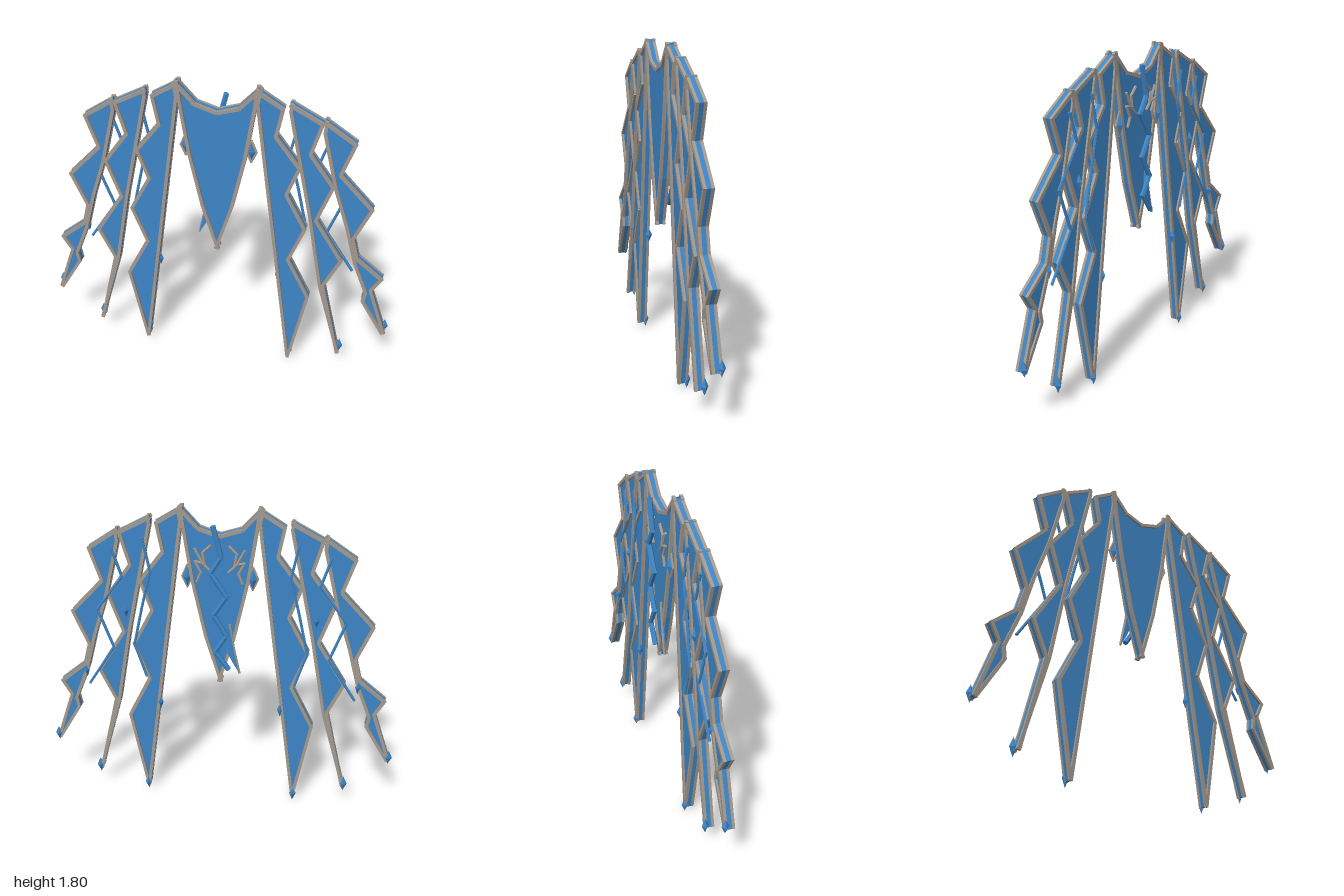
import * as THREE from 'three';

const blue = new THREE.MeshStandardMaterial({ color: 0x3d85c6, flatShading: true });
blue.name = 'featherBlue';
const grey = new THREE.MeshStandardMaterial({ color: 0xa39a90, flatShading: true });
grey.name = 'trimGrey';

// Outlines of the right-hand (+x) feathers, clockwise from the inner top corner
const feathers = {
  innerFeather: [
    [0.21, 1.79], [0.34, 1.71], [0.31, 1.55], [0.44, 1.38], [0.38, 1.21], [0.49, 1.0],
    [0.41, 0.78], [0.535, 0.53], [0.445, 0.03], [0.43, 0.03], [0.2, 1.72],
  ],
  middleFeather: [
    [0.37, 1.74], [0.54, 1.65], [0.49, 1.47], [0.62, 1.29], [0.545, 1.07], [0.7, 0.82],
    [0.615, 0.63], [0.735, 0.13], [0.725, 0.13], [0.585, 0.62], [0.5, 1.08], [0.365, 1.7],
  ],
  outerFeather: [
    [0.545, 1.665], [0.71, 1.555], [0.65, 1.37], [0.83, 1.18], [0.75, 0.98], [0.785, 0.85],
    [0.93, 0.73], [0.88, 0.64], [0.985, 0.34], [0.965, 0.33], [0.83, 0.555], [0.84, 0.62],
    [0.76, 0.82], [0.7, 1.04], [0.62, 1.28], [0.54, 1.6],
  ],
};

// Middle panel with a scooped collar and a long point
const centrePanel = [
  [-0.21, 1.8], [-0.11, 1.69], [0, 1.655], [0.11, 1.69], [0.21, 1.8], [0.2, 1.7],
  [0.155, 1.4], [0.085, 1.07], [0, 0.79], [-0.085, 1.07], [-0.155, 1.4], [-0.2, 1.7],
];

// Thin zigzag veins behind the feathers
const veins = [
  [[0.41, 1.62], [0.375, 1.44], [0.43, 1.22], [0.48, 1.0], [0.42, 0.8]],
  [[0.58, 1.56], [0.53, 1.4], [0.68, 1.2], [0.6, 0.97], [0.755, 0.73]],
];

// Crystals: x, y, half width, half height
const crystals = [
  [0.44, 0.05, 0.02, 0.05], [0.735, 0.15, 0.022, 0.05], [0.978, 0.36, 0.022, 0.045],
  [0.175, 1.42, 0.022, 0.06], [0.77, 0.81, 0.016, 0.045], [0.345, 0.63, 0.016, 0.045],
  [0.52, 1.2, 0.016, 0.04],
];

function add(parent, name, geometry, material) {
  const mesh = new THREE.Mesh(geometry, material);
  mesh.name = name;
  parent.add(mesh);
  return mesh;
}

// Flat plate between two depths
function plate(points, z0, z1) {
  const shape = new THREE.Shape(points.map(([x, y]) => new THREE.Vector2(x, y)));
  const g = new THREE.ExtrudeGeometry(shape, { depth: z1 - z0, bevelEnabled: false });
  return g.translate(0, 0, z0);
}

// Blue plate with a raised grey border on its front and back
function borderedPanel(name, points) {
  const group = new THREE.Group();
  group.name = name;
  add(group, 'panel', plate(points, 0.006, 0.038), blue);
  points.forEach(([x0, y0], i) => {
    const [x1, y1] = points[(i + 1) % points.length];
    const dx = x1 - x0, dy = y1 - y0, len = Math.hypot(dx, dy);
    // step inward from the clockwise outline
    const ix = (dy / len) * 0.007, iy = (-dx / len) * 0.007;
    for (const z of [0.043, 0.003]) {
      const bar = add(group, 'border', new THREE.BoxGeometry(len + 0.004, 0.018, 0.016), grey);
      bar.position.set((x0 + x1) / 2 + ix, (y0 + y1) / 2 + iy, z);
      bar.rotation.z = Math.atan2(dy, dx);
    }
  });
  return group;
}

// Jointed rods along a zigzag path
function zigzag(name, points, z, radius, material) {
  const group = new THREE.Group();
  group.name = name;
  for (let i = 0; i < points.length - 1; i++) {
    const [x0, y0] = points[i], [x1, y1] = points[i + 1];
    const len = Math.hypot(x1 - x0, y1 - y0);
    const rod = add(group, 'rod', new THREE.CylinderGeometry(radius, radius, len + radius, 6), material);
    rod.position.set((x0 + x1) / 2, (y0 + y1) / 2, z);
    rod.rotation.z = Math.atan2(y1 - y0, x1 - x0) - Math.PI / 2;
  }
  return group;
}

export function createModel() {
  const model = new THREE.Group();
  model.name = 'featheredCape';
  model.add(borderedPanel('centrePanel', centrePanel));

  for (const side of [1, -1]) {
    const wing = new THREE.Group();
    wing.name = side > 0 ? 'leftWing' : 'rightWing';
    // reversing keeps the mirrored outlines clockwise
    const flip = (pts) => (side > 0 ? pts : pts.map(([x, y]) => [-x, y]).reverse());

    for (const [name, pts] of Object.entries(feathers)) wing.add(borderedPanel(name, flip(pts)));
    for (const pts of veins) wing.add(zigzag('vein', flip(pts), -0.004, 0.008, blue));

    crystals.forEach(([x, y, w, h]) => {
      const gem = add(wing, 'crystal', new THREE.OctahedronGeometry(1, 0), blue);
      gem.scale.set(w, h, 0.02);
      gem.position.set(side * x, y, 0);
    });

    // Setting around the collar crystal
    const rim = [[0.175, 1.485], [0.202, 1.42], [0.175, 1.36], [0.15, 1.42], [0.175, 1.485]];
    wing.add(zigzag('crystalSetting', flip(rim), 0.004, 0.006, grey));

    // Small jagged star on the back
    const star = [[0.05, 1.6], [0.09, 1.56], [0.08, 1.5], [0.13, 1.51], [0.1, 1.45], [0.12, 1.4]];
    wing.add(zigzag('backStar', flip(star), -0.012, 0.008, grey));
    wing.add(zigzag('backRay', flip([[0.13, 1.58], [0.09, 1.5], [0.05, 1.46]]), -0.012, 0.008, grey));
    model.add(wing);
  }

  // Thick zigzag spine standing off the back
  const spine = [
    [0.03, 1.71], [-0.01, 1.55], [0.045, 1.46], [-0.04, 1.33], [0.03, 1.22],
    [-0.04, 1.1], [0.02, 1.0], [-0.05, 0.9],
  ];
  model.add(zigzag('spine', spine, -0.04, 0.015, blue));

  // Slim shard hanging behind the centre panel
  const shard = [[-0.11, 0.86], [-0.08, 1.0], [-0.055, 1.15], [-0.045, 0.98], [-0.075, 0.92]];
  add(model, 'backShard', plate(shard, -0.014, 0.004), blue);
  model.add(zigzag('shardEdge', [[-0.11, 0.86], [-0.08, 1.0], [-0.055, 1.15]], -0.008, 0.007, grey));

  return model;
}
